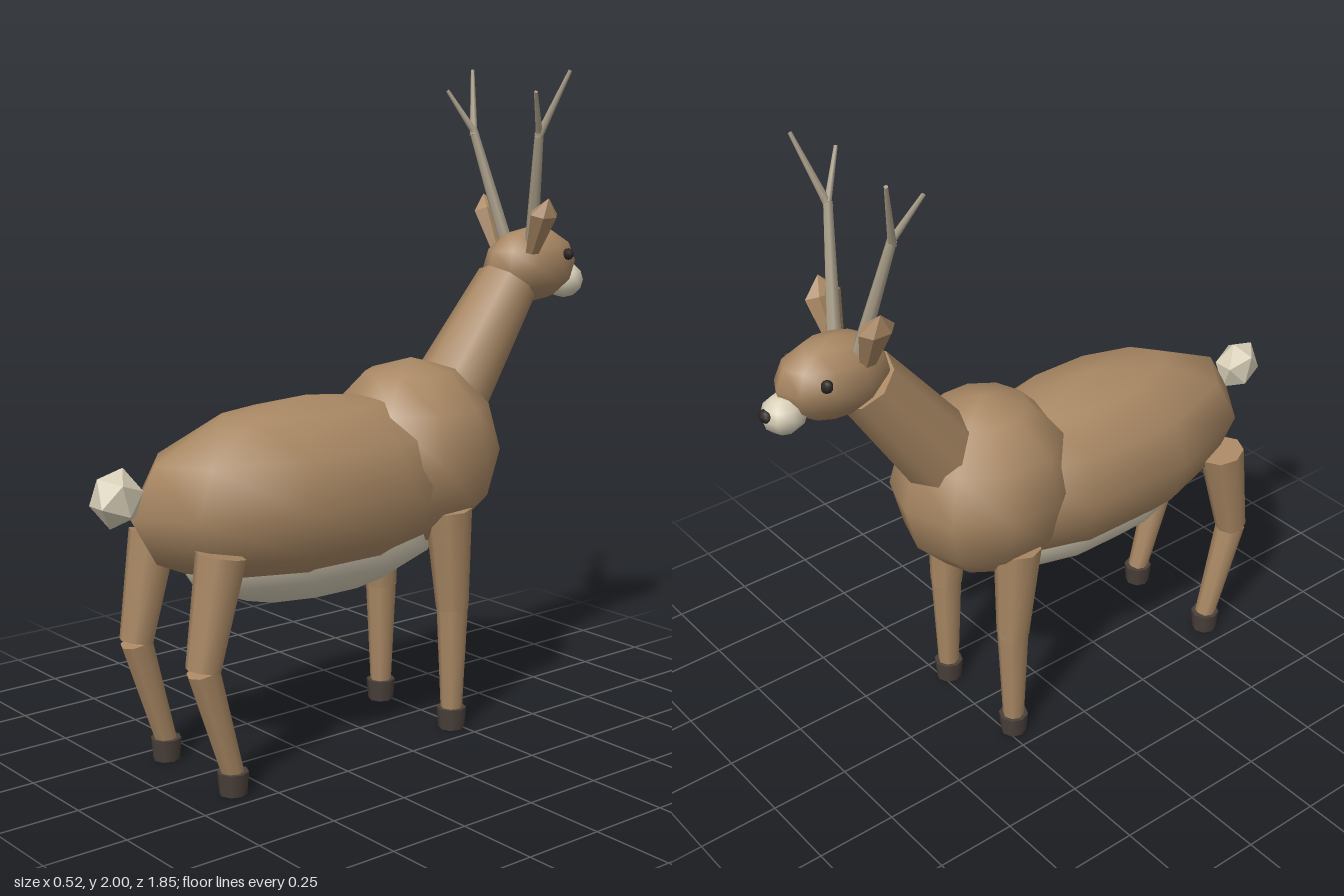
import * as THREE from 'three';

const mat = (color, flatShading = false) => new THREE.MeshStandardMaterial({ color, flatShading });
const V = (x, y, z) => new THREE.Vector3(x, y, z);

export function createModel() {
  const model = new THREE.Group();
  const coat = mat(0xa88763), coatFlat = mat(0xa88763, true);
  const cream = mat(0xd8cfb8), creamFlat = mat(0xd8cfb8, true);
  const horn = mat(0xa89d88), hoofMat = mat(0x4a403a), dark = mat(0x2b2522);

  function add(name, geometry, material, parent = model) {
    const mesh = new THREE.Mesh(geometry, material);
    mesh.name = name;
    parent.add(mesh);
    return mesh;
  }

  // Faceted ellipsoid with a vertex on the z axis
  function ellipsoid(name, center, radii, material, parent, segments = 10, rings = 6) {
    const g = new THREE.SphereGeometry(1, segments, rings).rotateY(Math.PI / 2).scale(...radii);
    const mesh = add(name, g, material, parent);
    mesh.position.set(...center);
    return mesh;
  }

  // Tapered limb running from point a to point b
  function limb(name, a, b, ra, rb, material, parent, sides = 8) {
    const dir = b.clone().sub(a);
    const mesh = add(name, new THREE.CylinderGeometry(rb, ra, dir.length(), sides), material, parent);
    mesh.position.copy(a).add(b).multiplyScalar(0.5);
    mesh.quaternion.setFromUnitVectors(V(0, 1, 0), dir.normalize());
    return mesh;
  }

  // Torso
  ellipsoid('body', [0, 0.79, 0.2], [0.273, 0.28, 0.61], coat);
  ellipsoid('chest', [0, 0.85, -0.2], [0.267, 0.29, 0.283], coat);
  ellipsoid('belly', [0, 0.66, 0.17], [0.205, 0.2, 0.5], cream);

  // Neck and head
  limb('neck', V(0, 0.95, -0.31), V(0, 1.34, -0.6), 0.13, 0.098, coat);
  ellipsoid('head', [0, 1.39, -0.697], [0.108, 0.12, 0.177], coat).rotation.x = 0.06;
  ellipsoid('muzzle', [0, 1.33, -0.855], [0.06, 0.058, 0.065], cream, model, 8, 6);
  ellipsoid('nose', [0, 1.342, -0.912], [0.024, 0.019, 0.017], dark, model, 6, 5);

  // Tail
  const tail = add('tail', new THREE.IcosahedronGeometry(1, 0).rotateY(Math.PI / 2).scale(0.063, 0.088, 0.08), creamFlat);
  tail.position.set(0, 0.857, 0.853);
  tail.rotation.x = 0.25;

  // Ear: faceted bud, narrow at the root and pointed at the tip
  const earProfile = [[0.001, -0.09], [0.5, -0.09], [1, 0.04], [0.001, 0.095]].map(p => new THREE.Vector2(...p));

  for (const [side, s] of [['left', 1], ['right', -1]]) {
    const head = new THREE.Group();
    head.name = side + 'HeadParts';
    model.add(head);

    ellipsoid(side + 'Eye', [s * 0.096, 1.425, -0.775], [0.017, 0.019, 0.019], dark, head, 6, 5);

    const ear = add(side + 'Ear', new THREE.LatheGeometry(earProfile, 6).scale(0.033, 1, 0.057), coatFlat, head);
    ear.position.set(s * 0.112, 1.522, -0.632);
    ear.rotation.z = -s * 0.38;

    // Antler with a forked end
    const antler = new THREE.Group();
    antler.name = side + 'Antler';
    head.add(antler);
    const fork = V(s * 0.147, 1.81, -0.585);
    limb('antlerBeam', V(s * 0.058, 1.46, -0.648), fork, 0.022, 0.014, horn, antler, 6);
    limb('antlerRearTine', fork, V(s * 0.197, 1.935, -0.518), 0.011, 0.006, horn, antler, 6);
    limb('antlerFrontTine', V(s * 0.144, 1.795, -0.583), V(s * 0.217, 1.998, -0.643), 0.013, 0.006, horn, antler, 6);

    // Legs: hip, knee and foot as [y, z]
    const legs = [
      ['Front', [0.697, -0.205], [0.385, -0.225], [0.06, -0.225]],
      ['Hind', [0.695, 0.63], [0.38, 0.695], [0.06, 0.6]],
    ];
    for (const [end, hip, knee, foot] of legs) {
      const leg = new THREE.Group();
      leg.name = side + end + 'Leg';
      model.add(leg);
      const x = s * 0.17;
      limb('upperLeg', V(x, ...hip), V(x, ...knee), 0.072, 0.05, coat, leg);
      limb('lowerLeg', V(x, ...knee), V(x, ...foot), 0.048, 0.033, coat, leg);
      limb('hoof', V(x, 0, foot[1]), V(x, 0.066, foot[1]), 0.04, 0.046, hoofMat, leg);
    }
  }

  return model;
}
